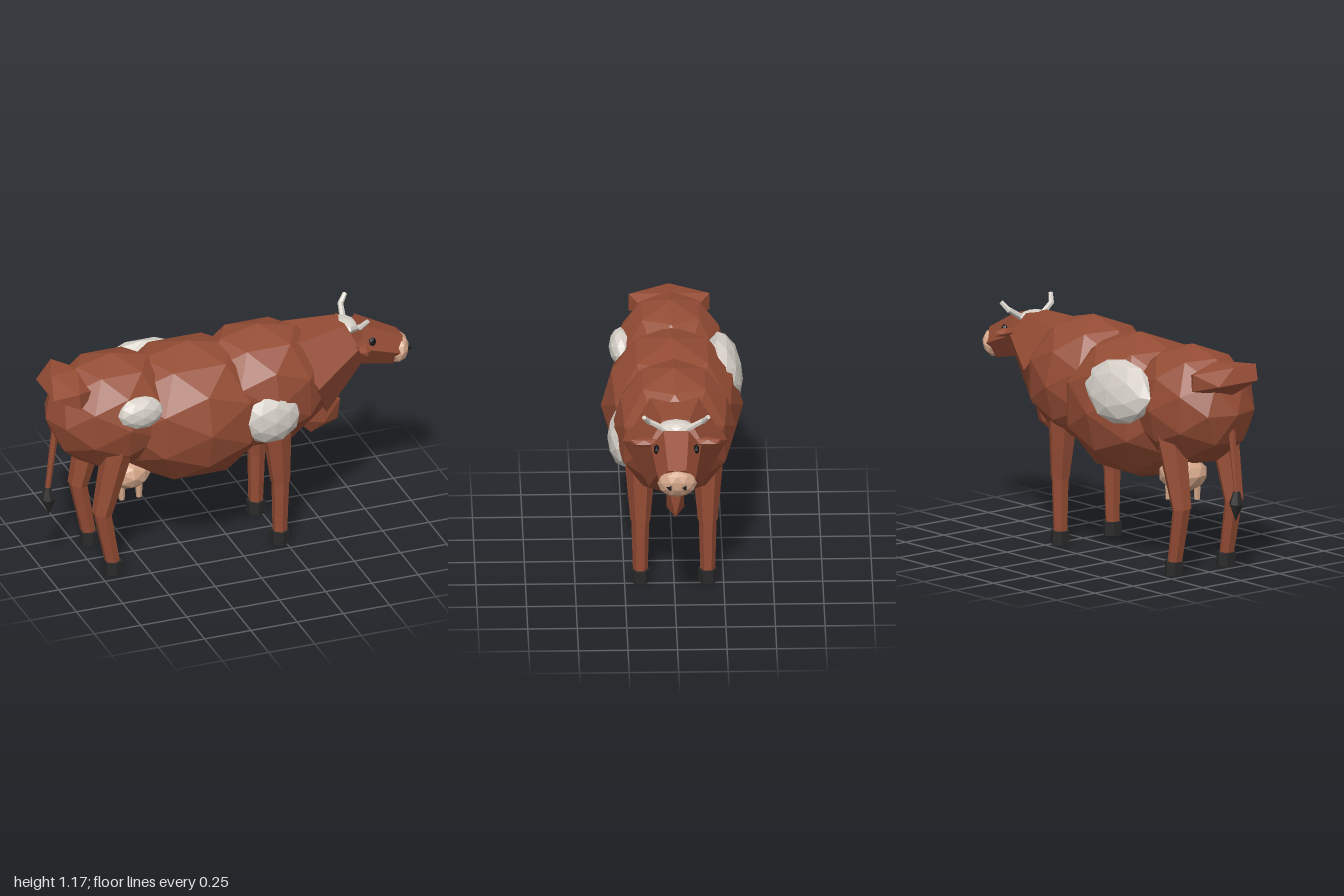
import * as THREE from 'three';

const mat = (name, color) => Object.assign(new THREE.MeshStandardMaterial({ color }), { name });

export function createModel() {
  const cow = new THREE.Group();
  cow.name = 'cow';
  const brown = mat('brown hide', 0x944c34);
  const white = mat('white', 0xd6d0c8);
  const pink = mat('pink skin', 0xd2a588);
  const dark = mat('dark', 0x292929);
  const black = mat('black', 0x161616);
  const V = (p) => new THREE.Vector3(...p);

  // Faceted mesh: every face keeps its own normal
  function add(name, geometry, material) {
    const g = geometry.index ? geometry.toNonIndexed() : geometry;
    g.computeVertexNormals();
    const mesh = new THREE.Mesh(g, material);
    mesh.name = name;
    cow.add(mesh);
    return mesh;
  }
  // Faceted ellipsoid
  function blob(name, pos, radii, material, detail = 1, rot = [0, 0, 0]) {
    const g = new THREE.IcosahedronGeometry(1, detail);
    g.scale(...radii);
    const m = add(name, g, material);
    m.position.set(...pos);
    m.rotation.set(...rot);
    return m;
  }
  // Tapered prism from a to b
  function limb(name, a, b, ra, rb, material, sides = 6) {
    const dir = V(b).sub(V(a));
    const m = add(name, new THREE.CylinderGeometry(rb, ra, dir.length(), sides), material);
    m.position.copy(V(a)).addScaledVector(dir, 0.5);
    m.quaternion.setFromUnitVectors(new THREE.Vector3(0, 1, 0), dir.normalize());
    return m;
  }

  // Body
  blob('hindquarters', [-0.62, 0.85, 0], [0.355, 0.31, 0.29], brown);
  blob('belly', [-0.21, 0.775, 0], [0.46, 0.375, 0.36], brown);
  blob('chest', [0.17, 0.84, 0], [0.38, 0.335, 0.315], brown);
  blob('rump', [-0.865, 1.025, 0], [0.135, 0.085, 0.24], brown, 0, [0, 0, 0.1]);
  blob('dewlap', [0.49, 0.63, 0], [0.145, 0.135, 0.053], brown, 0, [0, 0, 0.35]);

  // Hide patches
  blob('rearPatch', [-0.56, 0.93, 0.25], [0.125, 0.09, 0.062], white);
  blob('shoulderPatch', [0.145, 0.775, 0.25], [0.16, 0.15, 0.085], white);
  blob('flankPatch', [-0.36, 0.905, -0.27], [0.255, 0.165, 0.085], white, 1, [0.25, 0, 0]);

  // Neck and head
  limb('neck', [0.4, 0.88, 0], [0.67, 1.0, 0], 0.265, 0.135, brown);
  limb('head', [0.68, 0.99, 0], [0.91, 0.905, 0], 0.127, 0.092, brown);
  blob('muzzle', [0.918, 0.9, 0], [0.056, 0.08, 0.1], pink, 1, [0, 0, -0.3]);
  blob('poll', [0.642, 1.08, 0], [0.058, 0.033, 0.088], white);

  for (const s of [1, -1]) {
    // Face details
    limb('nostril', [0.955, 0.9, s * 0.038], [0.99, 0.895, s * 0.038], 0.024, 0.002, black, 3);
    blob('eye', [0.752, 1.007, s * 0.1], [0.022, 0.028, 0.016], black, 0);
    blob('ear', [0.678, 1.012, s * 0.16], [0.034, 0.023, 0.076], brown, 0);
    limb('hornBase', [0.655, 1.075, s * 0.06], [0.67, 1.128, s * 0.14], 0.017, 0.014, white);
    limb('hornTip', [0.668, 1.12, s * 0.136], [0.705, 1.165, s * 0.162], 0.015, 0.012, white);

    // Legs
    const z = s * 0.17;
    limb('frontThigh', [0.2, 0.74, z], [0.228, 0.345, z], 0.085, 0.05, brown);
    limb('frontShin', [0.228, 0.36, z], [0.225, 0.05, z], 0.046, 0.037, brown);
    limb('hindThigh', [-0.64, 0.76, z], [-0.737, 0.345, z], 0.085, 0.052, brown);
    limb('hindShin', [-0.737, 0.36, z], [-0.677, 0.05, z], 0.047, 0.038, brown);
    for (const x of [0.225, -0.675]) limb('hoof', [x, 0, z], [x, 0.07, z], 0.05, 0.05, dark);

    // Teats
    for (const x of [-0.585, -0.492]) {
      limb('teat', [x, 0.34, s * 0.055], [x, 0.43, s * 0.055], 0.015, 0.02, pink);
    }
  }
  blob('udder', [-0.54, 0.475, 0], [0.127, 0.092, 0.125], pink);

  // Tail
  limb('tail', [-0.915, 0.85, 0], [-0.965, 0.44, 0], 0.02, 0.014, brown);
  const tuft = [[0, 0], [0.038, 0.09], [0.018, 0.155], [0, 0.158]].map((p) => new THREE.Vector2(...p));
  const tassel = add('tailTassel', new THREE.LatheGeometry(tuft, 6), dark);
  tassel.position.set(-0.957, 0.3, 0);
  tassel.rotation.z = 0.06;

  return cow;
}
